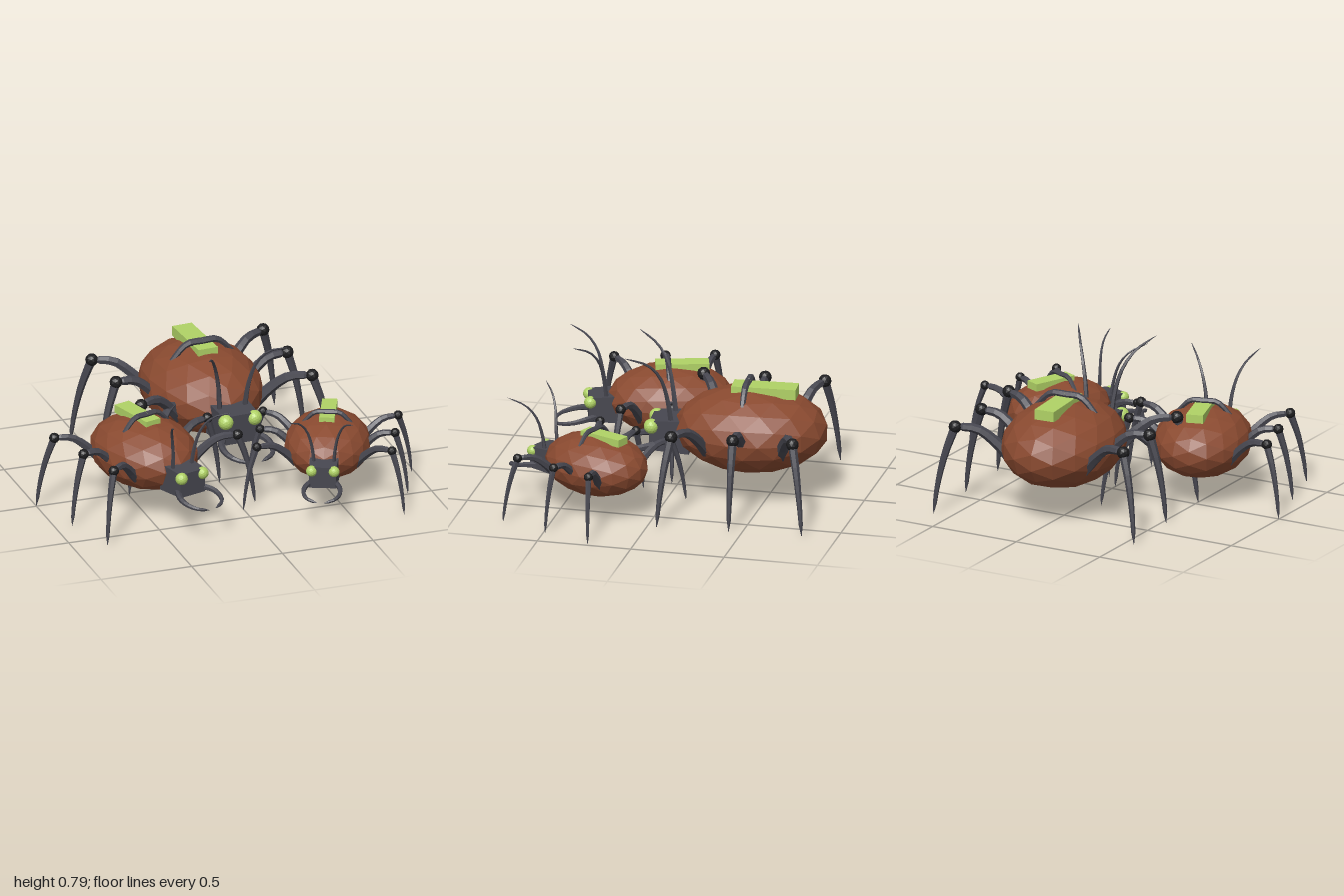
import * as THREE from 'three';

const paint = (name, color) => {
  const m = new THREE.MeshStandardMaterial({ color });
  m.name = name;
  return m;
};

// Gives every face its own normal for a faceted look
function faceted(geometry) {
  const g = geometry.index ? geometry.toNonIndexed() : geometry;
  g.computeVertexNormals();
  return g;
}

// Tube along a smooth path, narrowing from r0 to r1 and closed to a point at the tip
function taperedTube(points, r0, r1, sides = 6, segments = 8) {
  const curve = new THREE.CatmullRomCurve3(points.map(p => new THREE.Vector3(...p)));
  const g = new THREE.TubeGeometry(curve, segments, 1, sides);
  const pos = g.attributes.position;
  const v = new THREE.Vector3();
  for (let i = 0; i < pos.count; i++) {
    const ring = Math.floor(i / (sides + 1));
    const t = ring / segments;
    const centre = curve.getPointAt(t);
    const r = ring === segments ? 0.001 : r0 + (r1 - r0) * t;
    v.fromBufferAttribute(pos, i).sub(centre).multiplyScalar(r).add(centre);
    pos.setXYZ(i, v.x, v.y, v.z);
  }
  return faceted(g);
}

export function createModel() {
  const shell = paint('rust brown shell', 0x8a4a30);
  const limb = paint('dark grey limb', 0x474750);
  const joint = paint('black joint', 0x1c1c1e);
  const lime = paint('lime green', 0xb0d266);

  function createBug() {
    const bug = new THREE.Group();
    const add = (name, geometry, material, x = 0, y = 0, z = 0) => {
      const mesh = new THREE.Mesh(geometry, material);
      mesh.name = name;
      mesh.position.set(x, y, z);
      bug.add(mesh);
      return mesh;
    };

    // Body, back stripe and the arched band over it
    const body = new THREE.IcosahedronGeometry(1, 2).scale(0.312, 0.222, 0.405);
    add('body', faceted(body), shell, 0, 0.367, 0);
    add('backStripe', new THREE.BoxGeometry(0.11, 0.055, 0.34), lime, 0, 0.582, -0.07);
    for (const s of [-1, 1]) {
      add('backBand', taperedTube(
        [[0, 0.62, 0.02], [s * 0.085, 0.618, 0.02], [s * 0.155, 0.555, 0.02], [s * 0.215, 0.48, 0.02]],
        0.02, 0.012), limb);
    }

    // Head, slightly narrower at the front
    const head = new THREE.BoxGeometry(0.21, 0.18, 0.21);
    const hp = head.attributes.position;
    for (let i = 0; i < hp.count; i++) {
      if (hp.getZ(i) > 0) hp.setXYZ(i, hp.getX(i) * 0.92, hp.getY(i) * 0.88, hp.getZ(i));
    }
    add('head', faceted(head), limb, 0, 0.325, 0.42);

    for (const s of [-1, 1]) {
      add('eye', faceted(new THREE.IcosahedronGeometry(0.04, 2)), lime, s * 0.081, 0.372, 0.515);
      add('mandible', taperedTube(
        [[s * 0.07, 0.275, 0.46], [s * 0.125, 0.265, 0.56], [s * 0.13, 0.25, 0.63],
          [s * 0.1, 0.235, 0.7], [s * 0.025, 0.22, 0.735]], 0.024, 0.009, 6, 10), limb);
      add('antenna', taperedTube(
        [[s * 0.07, 0.38, 0.41], [s * 0.085, 0.53, 0.43], [s * 0.115, 0.65, 0.46],
          [s * 0.16, 0.735, 0.52], [s * 0.225, 0.79, 0.63]], 0.015, 0.004, 5, 10), limb);

      // Three legs on each side: [root z, knee z, foot z]
      for (const [rz, kz, fz] of [[0.2, 0.34, 0.4], [0.005, 0.015, 0.02], [-0.19, -0.3, -0.365]]) {
        const mz = rz + (kz - rz) * 0.6;
        add('upperLeg', taperedTube(
          [[s * 0.21, 0.3, rz], [s * 0.3, 0.4, (rz + mz) / 2], [s * 0.38, 0.46, mz], [s * 0.49, 0.47, kz]],
          0.034, 0.02), limb);
        add('knee', faceted(new THREE.IcosahedronGeometry(0.034, 1)), joint, s * 0.485, 0.47, kz);
        add('lowerLeg', taperedTube(
          [[s * 0.485, 0.47, kz], [s * 0.53, 0.32, kz + (fz - kz) * 0.45],
            [s * 0.562, 0.15, kz + (fz - kz) * 0.8], [s * 0.578, 0, fz]], 0.024, 0.009), limb);
      }
    }
    return bug;
  }

  // One large bug behind two smaller ones: [name, x, z, turn in degrees, scale]
  const model = new THREE.Group();
  model.name = 'bugTrio';
  const placements = [
    ['largeBug', 0.05, -0.41, 4, 1],
    ['mediumBug', -0.46, 0.15, 16.5, 0.82],
    ['smallBug', 0.495, 0.31, -23.5, 0.725],
  ];
  for (const [name, x, z, turn, scale] of placements) {
    const bug = createBug();
    bug.name = name;
    bug.position.set(x, 0, z);
    bug.rotation.y = THREE.MathUtils.degToRad(turn);
    bug.scale.setScalar(scale);
    model.add(bug);
  }
  return model;
}
